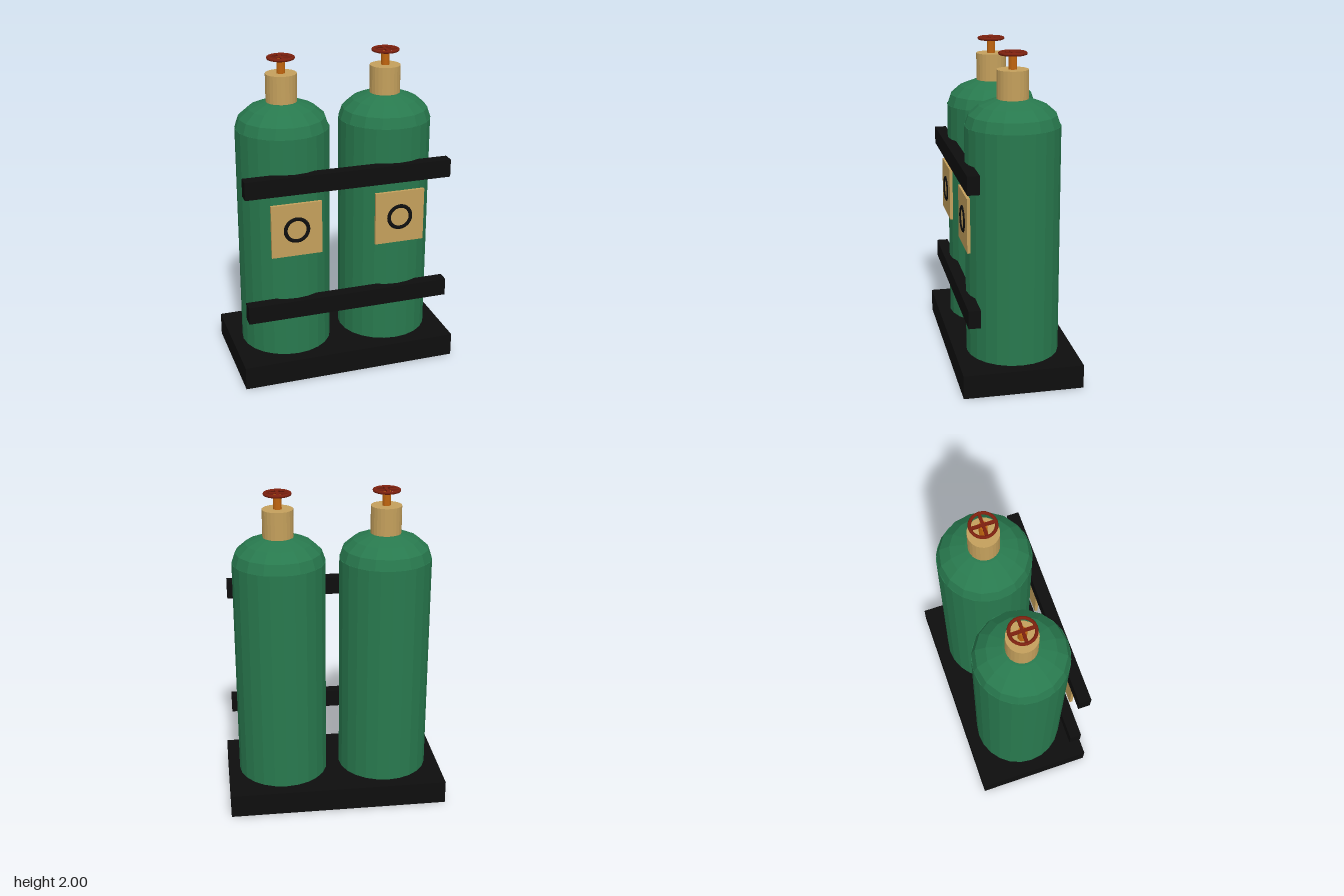
import * as THREE from 'three';

const material = (name, color) => {
  const m = new THREE.MeshStandardMaterial({ color, flatShading: true });
  m.name = name;
  return m;
};

export function createModel() {
  const green = material('tank green', 0x28794e);
  const black = material('black rubber', 0x0e0e0e);
  const brass = material('brass', 0xc4a05c);
  const copper = material('copper', 0xc0650f);
  const red = material('dark red', 0x7c200e);

  const model = new THREE.Group();
  model.name = 'gasCylinderPair';

  const add = (parent, name, geometry, mat, x, y, z) => {
    const mesh = new THREE.Mesh(geometry, mat);
    mesh.name = name;
    mesh.position.set(x, y, z);
    parent.add(mesh);
    return mesh;
  };

  // Base slab and the two front retaining bars
  add(model, 'base', new THREE.BoxGeometry(1.38, 0.148, 0.736), black, 0, 0.074, 0);
  for (const y of [0.485, 1.3])
    add(model, 'retainingBar', new THREE.BoxGeometry(1.294, 0.112, 0.074), black, 0, y, 0.291);

  for (const side of [-1, 1]) {
    const tank = new THREE.Group();
    tank.name = side > 0 ? 'leftTank' : 'rightTank';
    tank.position.x = side * 0.33;
    model.add(tank);

    // Body and flattened dome
    add(tank, 'body', new THREE.CylinderGeometry(0.287, 0.287, 1.43, 24), green, 0, 0.855, 0);
    const dome = new THREE.SphereGeometry(0.287, 16, 4, 0, Math.PI * 2, 0, Math.PI / 2);
    dome.scale(1, 0.167 / 0.287, 1);
    add(tank, 'dome', dome, green, 0, 1.57, 0);

    // Valve: neck, stem and handwheel with crossed spokes
    add(tank, 'neck', new THREE.CylinderGeometry(0.095, 0.095, 0.19, 24), brass, 0, 1.802, 0);
    add(tank, 'stem', new THREE.CylinderGeometry(0.026, 0.026, 0.1, 12), copper, 0, 1.937, 0);
    const wheel = new THREE.Group();
    wheel.name = 'handwheel';
    wheel.position.y = 1.99;
    tank.add(wheel);
    add(wheel, 'rim', new THREE.TorusGeometry(0.076, 0.01, 8, 24).rotateX(Math.PI / 2), red, 0, 0, 0);
    add(wheel, 'crossSpoke', new THREE.BoxGeometry(0.15, 0.014, 0.018), red, 0, 0, 0);
    add(wheel, 'longSpoke', new THREE.BoxGeometry(0.018, 0.014, 0.15), red, 0, 0, 0);

    // Front plate with a ring
    add(tank, 'plate', new THREE.BoxGeometry(0.316, 0.336, 0.019), brass, 0, 1.008, 0.2945);
    add(tank, 'plateRing', new THREE.TorusGeometry(0.071, 0.014, 8, 28), black, 0, 1.008, 0.299);
  }
  return model;
}
